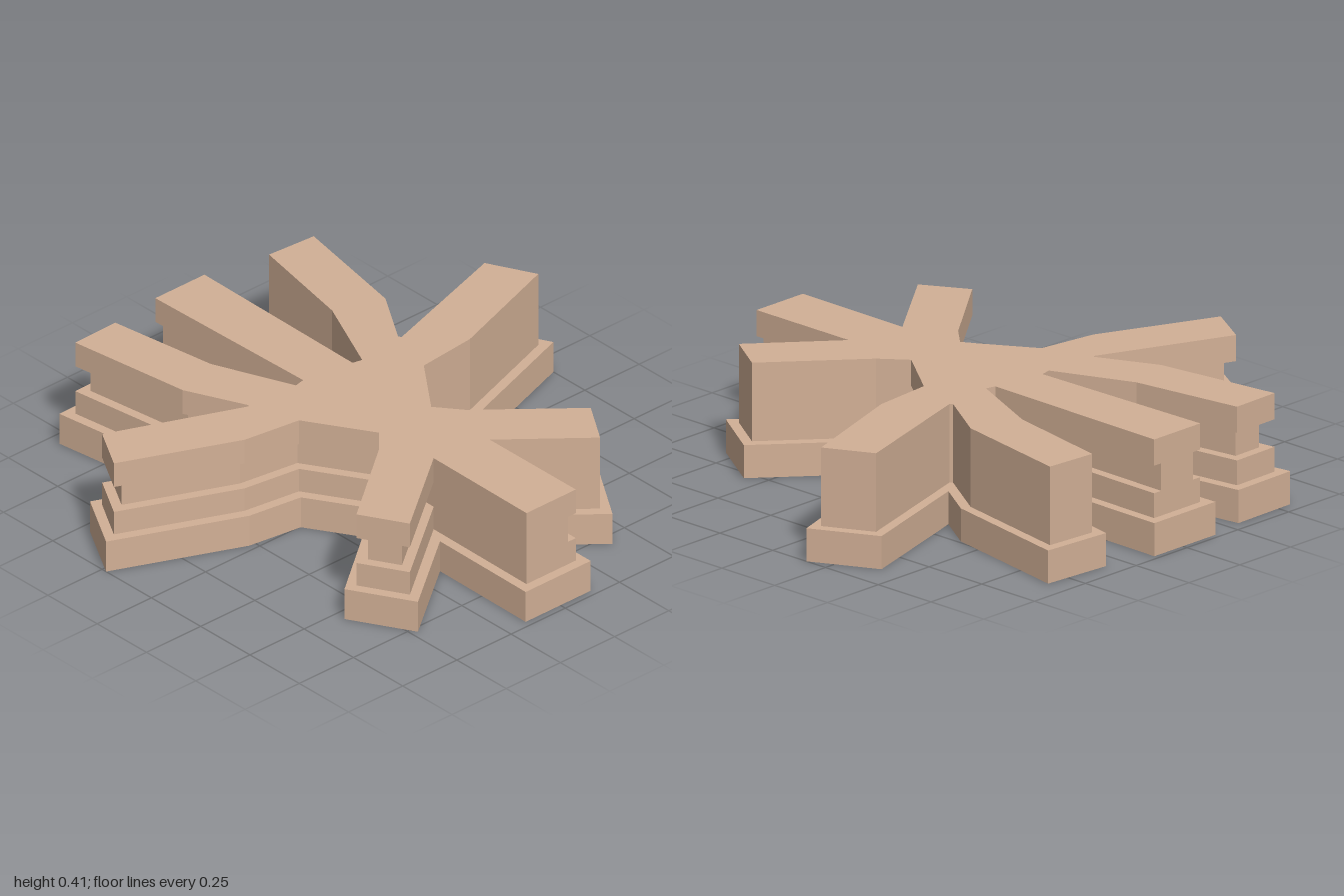
import * as THREE from 'three';

// Base outline seen from above (x, z), clockwise starting at the back arm's end
const OUTLINE = [
  [-0.16, -0.98], [0.14, -0.98], [0.13, -0.26],                    // back arm
  [0.235, -0.49], [0.325, -0.93], [0.59, -0.91], [0.49, -0.40],    // back left arm
  [0.395, -0.25], [0.88, -0.40], [1.0, -0.16], [0.50, 0.01],       // left arm
  [0.28, 0.03], [0.145, 0.21], [0.20, 0.28],                       // left waist
  [0.545, 0.575], [0.40, 0.80], [0.14, 0.58],                      // front left arm
  [0.14, 0.975], [-0.16, 0.975], [-0.155, 0.535],                  // front arm
  [-0.475, 0.775], [-0.605, 0.545], [-0.245, 0.27],                // front right arm
  [-0.19, 0.21], [-0.315, 0.005], [-0.525, -0.025],                // right waist
  [-1.0, -0.23], [-0.865, -0.46], [-0.42, -0.275],                 // right arm
  [-0.49, -0.43], [-0.56, -0.95], [-0.30, -0.955],                 // back right arm
  [-0.235, -0.51], [-0.145, -0.29],
].map(([x, z]) => new THREE.Vector2(x, z));

const INSET = 0.036;   // ledge width around the body
const GROOVE = 0.035;  // extra depth of the side channel
const hasGroove = (edge) => edge === 1 || edge === 11 || edge === 16 || edge >= 19;

// Moves each edge inwards by its own distance; sharp notches are bevelled
function insetRing(distance) {
  const n = OUTLINE.length;
  const edges = OUTLINE.map((p, i) => {
    const t = OUTLINE[(i + 1) % n].clone().sub(p).normalize();
    return { t, n: new THREE.Vector2(-t.y, t.x), d: distance(i) };
  });
  const ring = [];
  OUTLINE.forEach((p, i) => {
    const a = edges[(i + n - 1) % n];
    const b = edges[i];
    const limit = 2.2 * Math.max(a.d, b.d);
    const dot = a.n.dot(b.n);
    const place = (e, other) => {
      const k = (other.d - e.d * dot) / e.t.dot(other.n);
      return p.clone().addScaledVector(e.n, e.d)
        .addScaledVector(e.t, THREE.MathUtils.clamp(k, -limit, limit));
    };
    ring.push(place(a, b), place(b, a));
  });
  return ring;
}

function makeGeometry(positions) {
  const geometry = new THREE.BufferGeometry();
  geometry.setAttribute('position', new THREE.Float32BufferAttribute(positions, 3));
  geometry.computeVertexNormals();
  return geometry;
}

// Skins a list of [ring, height] levels from bottom to top
function skin(levels) {
  const out = [];
  for (let l = 0; l + 1 < levels.length; l++) {
    const [lower, y0] = levels[l];
    const [upper, y1] = levels[l + 1];
    lower.forEach((a0, i) => {
      const j = (i + 1) % lower.length;
      const b0 = lower[j], a1 = upper[i], b1 = upper[j];
      if (a0.distanceTo(b0) + a1.distanceTo(b1) < 1e-5) return;
      out.push(a0.x, y0, a0.y, a1.x, y1, a1.y, b1.x, y1, b1.y);
      out.push(a0.x, y0, a0.y, b1.x, y1, b1.y, b0.x, y0, b0.y);
    });
  }
  return makeGeometry(out);
}

// Flat lid facing up
function lid(ring, y) {
  const points = ring.filter((p, i) => i === 0 || p.distanceTo(ring[i - 1]) > 1e-5);
  const out = [];
  for (const face of THREE.ShapeUtils.triangulateShape(points, [])) {
    const tri = face.map((i) => points[i]);
    if (THREE.ShapeUtils.area(tri) > 0) tri.reverse();
    tri.forEach((p) => out.push(p.x, y, p.y));
  }
  return makeGeometry(out);
}

export function createModel() {
  const group = new THREE.Group();
  const material = new THREE.MeshStandardMaterial({
    color: 0xd2b096, flatShading: true, side: THREE.DoubleSide,
  });
  const add = (name, geometry) => {
    const mesh = new THREE.Mesh(geometry, material);
    mesh.name = name;
    group.add(mesh);
  };

  const base = insetRing(() => 0);
  const body = insetRing(() => INSET);
  const channel = insetRing((i) => INSET + (hasGroove(i) ? GROOVE : 0));

  // Hollow shell, open underneath
  add('baseRim', skin([[base, 0], [base, 0.12], [body, 0.12]]));
  add('lowerWall', skin([[body, 0.12], [body, 0.21]]));
  add('sideChannel', skin([[body, 0.21], [channel, 0.21], [channel, 0.31], [body, 0.31]]));
  add('upperWall', skin([[body, 0.31], [body, 0.405]]));
  add('topFace', lid(body, 0.405));
  return group;
}
